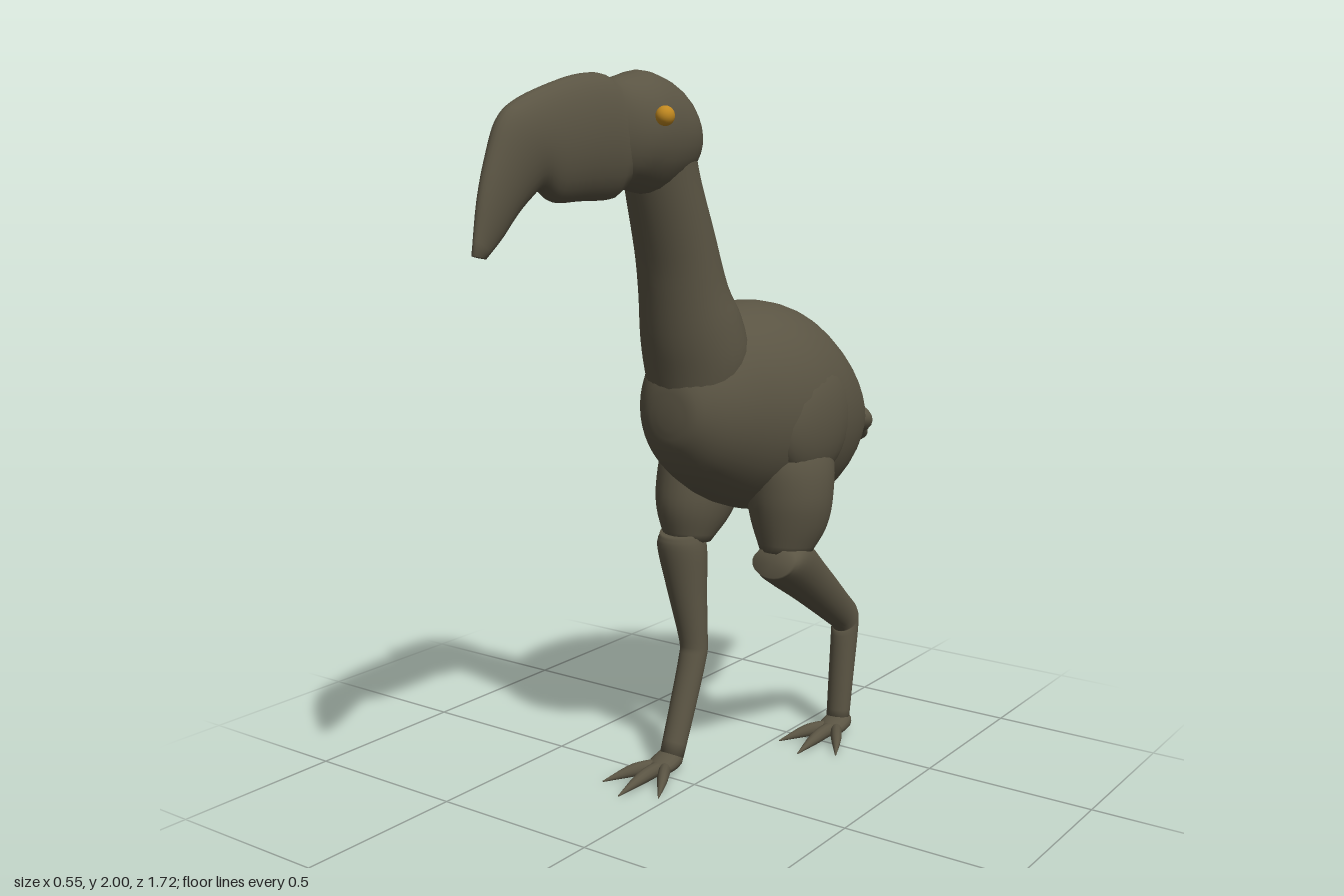
import * as THREE from 'three';

const plumage = new THREE.MeshStandardMaterial({ color: 0x5a5443 });
plumage.name = 'plumage';
const amber = new THREE.MeshStandardMaterial({ color: 0xc08820 });
amber.name = 'amber';

// Smooth skin through elliptical sections.
// Section: [zA, yA, zB, yB, halfWidth, x]; A and B are opposite outline points.
function loft(name, sections, sides = 28, steps = 4) {
  const curve = (f) => new THREE.CatmullRomCurve3(sections.map(f), false, 'catmullrom', 0.5);
  const a = curve((s) => new THREE.Vector3(s[5] || 0, s[1], s[0]));
  const b = curve((s) => new THREE.Vector3(s[5] || 0, s[3], s[2]));
  const w = curve((s) => new THREE.Vector3(s[4], 0, 0));
  const rings = (sections.length - 1) * steps;
  const pos = [], index = [], ends = [];
  for (let i = 0; i <= rings; i++) {
    const t = i / rings;
    const A = a.getPoint(t), B = b.getPoint(t), hw = Math.max(w.getPoint(t).x, 0.002);
    const mid = A.clone().add(B).multiplyScalar(0.5), half = A.clone().sub(B).multiplyScalar(0.5);
    if (i === 0 || i === rings) ends.push(mid);
    for (let j = 0; j < sides; j++) {
      const ang = (j / sides) * Math.PI * 2, c = Math.cos(ang);
      pos.push(mid.x + half.x * c + hw * Math.sin(ang), mid.y + half.y * c, mid.z + half.z * c);
    }
  }
  ends.forEach((e) => pos.push(e.x, e.y, e.z));
  const first = (rings + 1) * sides, last = rings * sides;
  for (let j = 0; j < sides; j++) {
    const k = (j + 1) % sides;
    for (let i = 0; i < rings; i++) {
      const p = i * sides, q = p + sides;
      index.push(p + j, p + k, q + j, p + k, q + k, q + j);
    }
    index.push(first, k, j, first + 1, last + j, last + k);
  }
  // Turn the faces outward whichever way the sections run.
  let volume = 0;
  const v = (n) => new THREE.Vector3().fromArray(pos, n * 3);
  for (let i = 0; i < index.length; i += 3) {
    volume += v(index[i]).dot(v(index[i + 1]).cross(v(index[i + 2])));
  }
  if (volume < 0) index.reverse();
  const geo = new THREE.BufferGeometry();
  geo.setAttribute('position', new THREE.Float32BufferAttribute(pos, 3));
  geo.setIndex(index);
  geo.computeVertexNormals();
  const mesh = new THREE.Mesh(geo, plumage);
  mesh.name = name;
  return mesh;
}

function ball(name, material, center, radii) {
  const mesh = new THREE.Mesh(new THREE.SphereGeometry(1, 24, 16), material);
  mesh.name = name;
  mesh.position.set(...center);
  mesh.scale.set(...radii);
  return mesh;
}

// Foot pad with three pointed toes; z is the heel.
function foot(name, x, z) {
  const group = new THREE.Group();
  group.name = name;
  group.add(loft('footPad', [
    [z, 0.05, z, 0.01, 0.025, x],
    [z + 0.03, 0.065, z + 0.03, 0, 0.04, x],
    [z + 0.08, 0.05, z + 0.08, 0, 0.042, x],
    [z + 0.12, 0.03, z + 0.12, 0.005, 0.02, x],
  ], 16));
  for (const side of [-1, 0, 1]) {
    const reach = side ? 0.225 : 0.28;
    const toe = (f, h, w) => [z + 0.05 + (reach - 0.05) * f, h, z + 0.05 + (reach - 0.05) * f, 0, w, x + side * 0.1 * f];
    group.add(loft('toe', [toe(0, 0.04, 0.02), toe(0.35, 0.042, 0.02), toe(0.6, 0.034, 0.017), toe(1, 0.004, 0.002)], 12));
  }
  return group;
}

function thigh(name, x, dz) {
  return loft(name, [
    [-0.17, 1.06, -0.34, 1.08, 0.05, x * 0.9],
    [-0.125, 0.95, -0.4, 0.95, 0.105, x],
    [-0.12 + dz / 2, 0.85, -0.39, 0.83, 0.12, x],
    [-0.13 + dz, 0.77, -0.37 + dz, 0.73, 0.105, x],
    [-0.15 + dz, 0.68, -0.32 + dz * 2, 0.66, 0.07, x],
  ]);
}

export function createModel() {
  const bird = new THREE.Group();
  bird.name = 'bird';

  bird.add(loft('body', [
    [0.125, 1.12, 0.125, 1.06, 0.03],
    [0.11, 1.2, 0.11, 1.0, 0.09],
    [0.05, 1.28, 0.05, 0.92, 0.15],
    [-0.05, 1.35, -0.05, 0.85, 0.205],
    [-0.15, 1.375, -0.15, 0.8, 0.245],
    [-0.27, 1.38, -0.27, 0.765, 0.267],
    [-0.4, 1.355, -0.4, 0.745, 0.26],
    [-0.5, 1.305, -0.5, 0.757, 0.238],
    [-0.6, 1.23, -0.6, 0.8, 0.2],
    [-0.68, 1.135, -0.68, 0.86, 0.155],
    [-0.73, 1.05, -0.73, 0.92, 0.1],
    [-0.75, 1.0, -0.75, 0.97, 0.02],
  ], 40));

  bird.add(loft('tail', [
    [-0.6, 1.08, -0.6, 0.93, 0.13],
    [-0.69, 1.06, -0.69, 0.915, 0.172],
    [-0.74, 1.03, -0.73, 0.915, 0.145],
    [-0.79, 0.995, -0.78, 0.9, 0.105],
    [-0.845, 0.95, -0.83, 0.88, 0.08],
    [-0.862, 0.925, -0.858, 0.885, 0.055],
  ]));

  bird.add(loft('neck', [
    [0.1, 1.08, -0.1, 1.12, 0.12],
    [0.125, 1.2, -0.15, 1.25, 0.148],
    [0.145, 1.29, -0.11, 1.375, 0.143],
    [0.165, 1.42, -0.06, 1.45, 0.125],
    [0.185, 1.52, 0, 1.61, 0.113],
    [0.235, 1.69, 0.05, 1.74, 0.103],
    [0.26, 1.78, 0.075, 1.84, 0.1],
  ]));

  bird.add(loft('head', [
    [0.07, 1.86, 0.068, 1.8, 0.05],
    [0.092, 1.92, 0.08, 1.745, 0.088],
    [0.15, 1.974, 0.13, 1.71, 0.116],
    [0.24, 2.0, 0.22, 1.69, 0.122],
    [0.3, 1.99, 0.3, 1.705, 0.113],
    [0.36, 1.972, 0.35, 1.72, 0.088],
    [0.4, 1.93, 0.4, 1.76, 0.05],
  ]));

  bird.add(loft('beak', [
    [0.28, 1.97, 0.3, 1.73, 0.08],
    [0.36, 1.975, 0.35, 1.69, 0.075],
    [0.41, 1.988, 0.38, 1.68, 0.07],
    [0.5, 1.98, 0.48, 1.68, 0.067],
    [0.6, 1.955, 0.58, 1.68, 0.06],
    [0.7, 1.92, 0.63, 1.71, 0.053],
    [0.76, 1.88, 0.67, 1.69, 0.046],
    [0.8, 1.8, 0.72, 1.65, 0.037],
    [0.835, 1.7, 0.77, 1.6, 0.026],
    [0.862, 1.57, 0.82, 1.56, 0.012],
  ]));

  // Eyes and small folded wings
  for (const side of [-1, 1]) {
    bird.add(ball('eye', amber, [side * 0.122, 1.885, 0.295], [0.024, 0.025, 0.025]));
    bird.add(ball('wing', plumage, [side * 0.2, 1.05, -0.29], [0.075, 0.17, 0.18]));
  }

  // Left leg, pushing off behind
  bird.add(thigh('leftThigh', 0.155, 0));
  bird.add(loft('leftShin', [
    [-0.16, 0.695, -0.13, 0.615, 0.065, 0.165],
    [-0.27, 0.71, -0.17, 0.585, 0.078, 0.16],
    [-0.42, 0.605, -0.33, 0.495, 0.065, 0.145],
    [-0.62, 0.45, -0.54, 0.37, 0.046, 0.125],
    [-0.675, 0.4, -0.6, 0.33, 0.043, 0.122],
    [-0.685, 0.34, -0.597, 0.31, 0.042, 0.122],
    [-0.662, 0.18, -0.586, 0.18, 0.039, 0.122],
    [-0.64, 0.03, -0.575, 0.04, 0.036, 0.122],
  ]));
  bird.add(foot('leftFoot', 0.125, -0.645));

  // Right leg, planted ahead
  bird.add(thigh('rightThigh', -0.155, 0.035));
  bird.add(loft('rightShin', [
    [-0.1, 0.69, -0.22, 0.71, 0.065, -0.16],
    [-0.092, 0.65, -0.235, 0.64, 0.075, -0.16],
    [-0.11, 0.52, -0.225, 0.5, 0.06, -0.145],
    [-0.13, 0.37, -0.212, 0.36, 0.044, -0.125],
    [-0.122, 0.32, -0.203, 0.31, 0.042, -0.122],
    [-0.075, 0.19, -0.15, 0.17, 0.039, -0.122],
    [-0.025, 0.06, -0.088, 0.025, 0.036, -0.122],
  ]));
  bird.add(foot('rightFoot', -0.125, -0.085));

  return bird;
}
